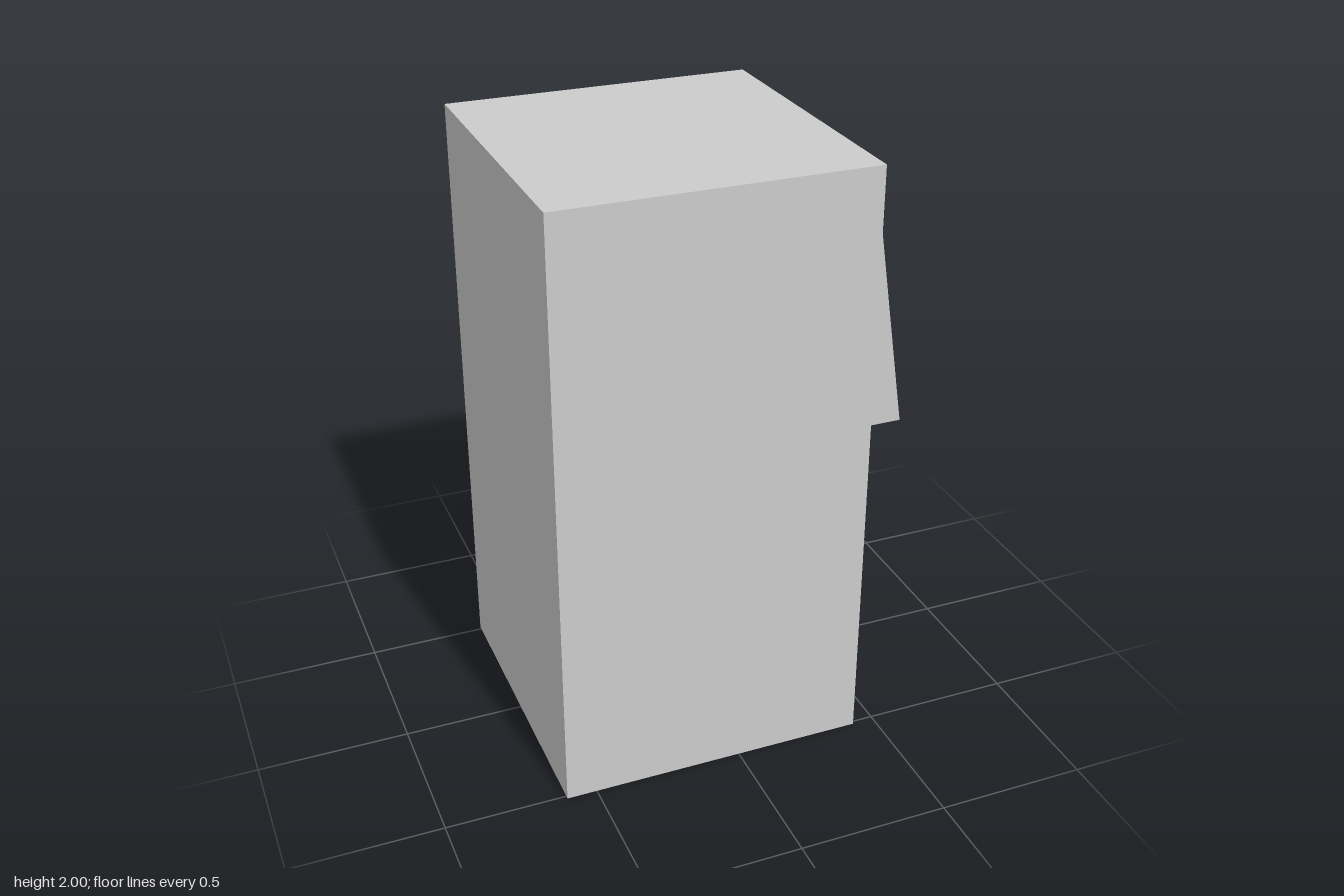
import * as THREE from 'three';
import { mergeGeometries } from 'three/addons/utils/BufferGeometryUtils.js';

const FRONT = 0.425, REAR = -0.6, RECESS = 0.305, SLOT = 0.205; // x planes
const material = new THREE.MeshStandardMaterial({ color: 0xcccccc, flatShading: true });

// Corners of a rectangle on the +x side, as (-z, y), counter-clockwise
const rect = (zMin, zMax, yMin, yMax) => [
  [-zMax, yMin], [-zMin, yMin], [-zMin, yMax], [-zMax, yMax],
].map(([u, v]) => new THREE.Vector2(u, v));

// Flat face at a given x with optional openings
function face(x, outline, openings = [], turn = 1) {
  const shape = new THREE.Shape(outline);
  shape.holes = openings.map((o) => new THREE.Path(o));
  return new THREE.ShapeGeometry(shape).rotateY(turn * Math.PI / 2).translate(x, 0, 0).toNonIndexed();
}

// Four walls along x: rear to front faces outward, front to rear faces inward
function walls(outline, from, to) {
  const pos = [], uv = [];
  outline.forEach((p, i) => {
    const q = outline[(i + 1) % outline.length];
    const a = [from, p.y, -p.x], b = [from, q.y, -q.x];
    const c = [to, q.y, -q.x], d = [to, p.y, -p.x];
    pos.push(...a, ...b, ...c, ...a, ...c, ...d);
    uv.push(0, 0, 1, 0, 1, 1, 0, 0, 1, 1, 0, 1);
  });
  const g = new THREE.BufferGeometry();
  g.setAttribute('position', new THREE.Float32BufferAttribute(pos, 3));
  g.setAttribute('uv', new THREE.Float32BufferAttribute(uv, 2));
  g.computeVertexNormals();
  return g;
}

export function createModel() {
  const group = new THREE.Group();
  const add = (name, ...parts) => {
    const mesh = new THREE.Mesh(parts.length > 1 ? mergeGeometries(parts) : parts[0], material);
    mesh.name = name;
    group.add(mesh);
  };

  const outer = rect(-0.512, 0.512, 0, 2);
  const opening = rect(-0.445, 0.465, 0.045, 0.945);
  const slots = [rect(0.185, 0.275, 0.31, 0.762), rect(-0.277, -0.19, 0.31, 0.762)];

  // Cabinet with an opening in its lower half
  add('cabinet', walls(outer, REAR, FRONT), face(FRONT, outer, [opening]), face(REAR, outer, [], -1));

  // Recessed panel pierced by two slots
  add('recessedPanel', walls(opening, FRONT, RECESS), face(RECESS, opening, slots));
  for (const slot of slots) add('slot', walls(slot, RECESS, SLOT), face(SLOT, slot));

  // Sloping wedge panel above the opening
  const profile = new THREE.Shape([[FRONT, 1.08], [0.597, 1.08], [0.475, 1.86], [FRONT, 1.86]]
    .map(([x, y]) => new THREE.Vector2(x, y)));
  add('slopedPanel', new THREE.ExtrudeGeometry(profile, { depth: 0.757, bevelEnabled: false })
    .translate(0, 0, -0.37));

  return group;
}
